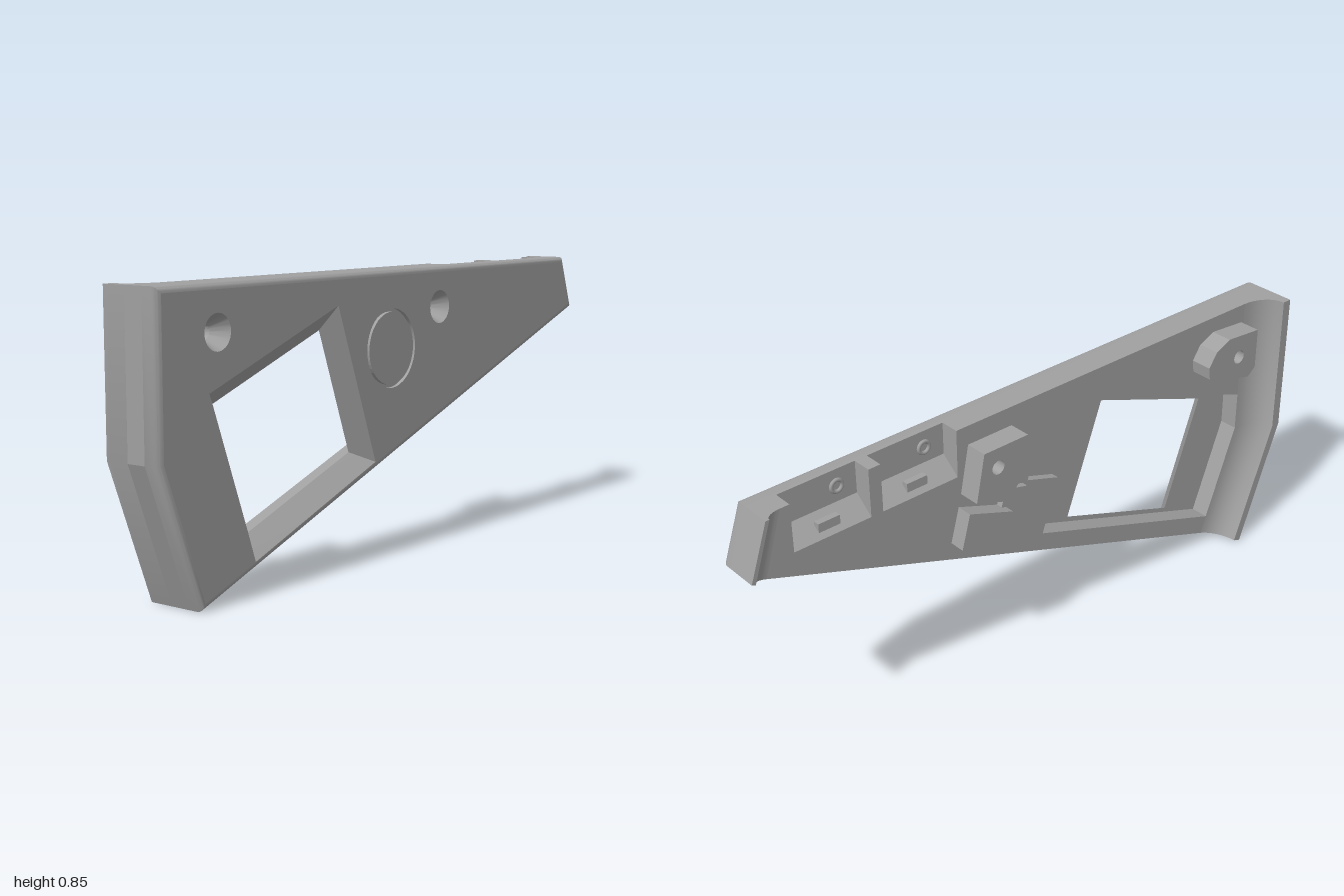
import * as THREE from 'three';
import { toCreasedNormals } from 'three/addons/utils/BufferGeometryUtils.js';

// Profiles are [z, y] points; depth runs along x.
const OUT = 0.09, FLOOR = 0.04, INNER = -0.02;
const TOP = 0.85;
const outline = [[1, TOP], [-0.94, TOP], [-1, 0.68], [0.85, 0], [1, 0.4]];
const windowOuter = [[0.815, 0.567], [0.284, 0.76], [0.113, 0.294], [0.643, 0.096]];
const windowInner = [[0.75, 0.53], [0.31, 0.69], [0.177, 0.326], [0.617, 0.166]];
const screws = [[0.78, 0.722], [-0.21, 0.727]];
const notches = [[-0.3, -0.56], [-0.6, -0.85]];
const disc = [0.035, 0.62];

const circle = ([z, y], r, n = 32) => Array.from({ length: n }, (_, i) => {
  const a = (i / n) * Math.PI * 2;
  return [z + r * Math.cos(a), y + r * Math.sin(a)];
});

// Moves each edge of a counter-clockwise outline inwards
function inset(pts, d) {
  const n = pts.length;
  const normal = (a, b) => {
    const l = Math.hypot(b[0] - a[0], b[1] - a[1]);
    return [-(b[1] - a[1]) / l, (b[0] - a[0]) / l];
  };
  return pts.map((p, i) => {
    const a = normal(pts[(i + n - 1) % n], p), b = normal(p, pts[(i + 1) % n]);
    const k = d / (1 + a[0] * b[0] + a[1] * b[1]);
    return [p[0] + (a[0] + b[0]) * k, p[1] + (a[1] + b[1]) * k];
  });
}

function toShape(pts, holes = []) {
  const flat = (list) => list.map(([z, y]) => new THREE.Vector2(-z, y));
  const shape = new THREE.Shape(flat(pts));
  shape.holes = holes.map((h) => new THREE.Path(flat(h)));
  return shape;
}

// Flat sheet at a given x
const sheet = (pts, holes, x) =>
  new THREE.ShapeGeometry(toShape(pts, holes)).rotateY(Math.PI / 2).translate(x, 0, 0);

// Solid slab between two x values
const slab = (pts, holes, x0, x1) =>
  new THREE.ExtrudeGeometry(toShape(pts, holes), { depth: x1 - x0, bevelEnabled: false })
    .rotateY(Math.PI / 2).translate(x0, 0, 0);

// Skin through closed rings { x, pts } of equal point count
function loft(rings, crease = 0.6) {
  const pos = [], idx = [], n = rings[0].pts.length;
  rings.forEach(({ x, pts }) => pts.forEach(([z, y]) => pos.push(x, y, z)));
  for (let r = 0; r < rings.length - 1; r++) {
    for (let i = 0; i < n; i++) {
      const a = r * n + i, b = r * n + ((i + 1) % n);
      idx.push(a, a + n, b, b, a + n, b + n);
    }
  }
  const g = new THREE.BufferGeometry();
  g.setAttribute('position', new THREE.Float32BufferAttribute(pos, 3));
  g.setIndex(idx);
  return toCreasedNormals(g, crease);
}

export function createModel() {
  const group = new THREE.Group();
  group.name = 'sidePanel';
  const grey = new THREE.MeshStandardMaterial({ color: 0xa0a0a0, side: THREE.DoubleSide });
  grey.name = 'grey plastic';
  const add = (name, geometry) => {
    const mesh = new THREE.Mesh(geometry, grey);
    mesh.name = name;
    group.add(mesh);
    return mesh;
  };

  // Outer face with rounded border
  const R = 0.018, steps = 5;
  add('outerFace', sheet(inset(outline, R),
    [windowOuter, circle(disc, 0.117, 48), ...screws.map((s) => circle(s, 0.05))], OUT));
  const rim = [{ x: FLOOR, pts: outline }];
  for (let i = 0; i <= steps; i++) {
    const a = (i / steps) * Math.PI / 2;
    rim.push({ x: OUT - R + R * Math.sin(a), pts: inset(outline, R * (1 - Math.cos(a))) });
  }
  add('roundedRim', loft(rim));

  // Window funnel and thin floor panel behind it
  add('windowFrame', loft([{ x: FLOOR, pts: windowInner }, { x: OUT, pts: windowOuter }], 0.2));
  add('floorPanel', sheet(outline, [windowInner, ...screws.map((s) => circle(s, 0.022))], FLOOR));

  // Countersunk screw holes
  screws.forEach((s) => add('countersink', loft([
    { x: FLOOR, pts: circle(s, 0.022) }, { x: OUT, pts: circle(s, 0.05) }])));

  // Round cover set in a shallow groove
  add('coverGroove', loft([
    { x: OUT - 0.012, pts: circle(disc, 0.107, 48) },
    { x: OUT - 0.012, pts: circle(disc, 0.117, 48) },
    { x: OUT, pts: circle(disc, 0.117, 48) }]));
  add('roundCover', slab(circle(disc, 0.107, 48), [], FLOOR + 0.01, OUT));

  // Inner layer: pocket around the window and notches along the top edge
  const notched = [outline[0]];
  notches.forEach(([a, b]) => notched.push([a, TOP], [a, 0.7], [b, 0.7], [b, TOP]));
  notched.push(...outline.slice(1));
  const pocket = [[0.2, 0.77], [0.133, 0.7], [0, 0.735], [-0.04, 0.58], [0.08, 0.54],
    [0.02, 0.365], [0.757, 0.1], [0.87, 0.4], [0.87, 0.525]];
  add('innerLayer', slab(notched, [pocket, ...screws.map((s) => circle(s, 0.022))], INNER, FLOOR));
  add('pocketStep', slab([[0.133, 0.7], [0, 0.735], [-0.04, 0.58], [0.08, 0.54]], [], 0.005, FLOOR));

  // Sloped floor, small tab and eyelet in each notch
  notches.forEach(([a, b]) => {
    const wedge = new THREE.Shape([
      new THREE.Vector2(INNER, 0.7), new THREE.Vector2(FLOOR, 0.7), new THREE.Vector2(FLOOR, 0.75)]);
    add('notchFloor', new THREE.ExtrudeGeometry(wedge, { depth: a - b, bevelEnabled: false })
      .translate(0, 0, b));
    const mid = (a + b) / 2;
    add('notchTab', new THREE.BoxGeometry(0.02, 0.03, 0.07)).position.set(0.005, 0.725, mid);
    const eyelet = add('notchEyelet', new THREE.TorusGeometry(0.018, 0.006, 8, 20));
    eyelet.rotation.y = Math.PI / 2;
    eyelet.position.set(FLOOR - 0.002, 0.8, mid + 0.06);
  });

  // Front flange with a concave fillet running into the inner face
  const frontRing = (d) => [outline[0], outline[4], outline[3],
    [0.85 - 0.879 * d, 0.323 * d], [1 - d, 0.4], [1 - d, TOP]];
  // Low flange on the narrow rear end
  const rearRing = (d) => [outline[1], outline[2],
    [-1 + d, 0.68 * (1.85 - d) / 1.85], [-0.94 + d, TOP]];
  const flange = (name, ring, tip, thin, thick) => {
    const rings = [];
    for (let i = 0; i <= 8; i++) {
      const a = (i / 8) * Math.PI / 2;
      rings.push({
        x: tip + (INNER - tip) * Math.sin(a),
        pts: ring(thin + (thick - thin) * (1 - Math.cos(a))),
      });
    }
    add(name, loft(rings));
    add(name + 'Edge', sheet(ring(thin), [], tip));
  };
  flange('frontFlange', frontRing, -0.095, 0.03, 0.13);
  flange('rearFlange', rearRing, -0.045, 0.012, 0.06);

  // Screw bosses
  add('frontBoss', slab([[0.86, 0.79], [0.73, 0.8], [0.675, 0.775], [0.645, 0.73], [0.65, 0.69],
    [0.68, 0.67], [0.83, 0.635], [0.86, 0.66]], [circle(screws[0], 0.022)], -0.09, INNER));
  add('rearBoss', slab([[-0.1, 0.79], [-0.26, 0.79], [-0.29, 0.64], [-0.175, 0.6], [-0.095, 0.69]],
    [circle(screws[1], 0.022)], -0.09, INNER));

  // Clip block below the rear boss with its side arm
  add('clipBlock', slab([[-0.14, 0.54], [-0.3, 0.6], [-0.33, 0.49], [-0.17, 0.43]], [], -0.07, INNER));
  add('clipArm', slab([[-0.06, 0.58], [-0.14, 0.6], [-0.17, 0.51], [-0.09, 0.48]], [], -0.04, INNER));
  return group;
}
